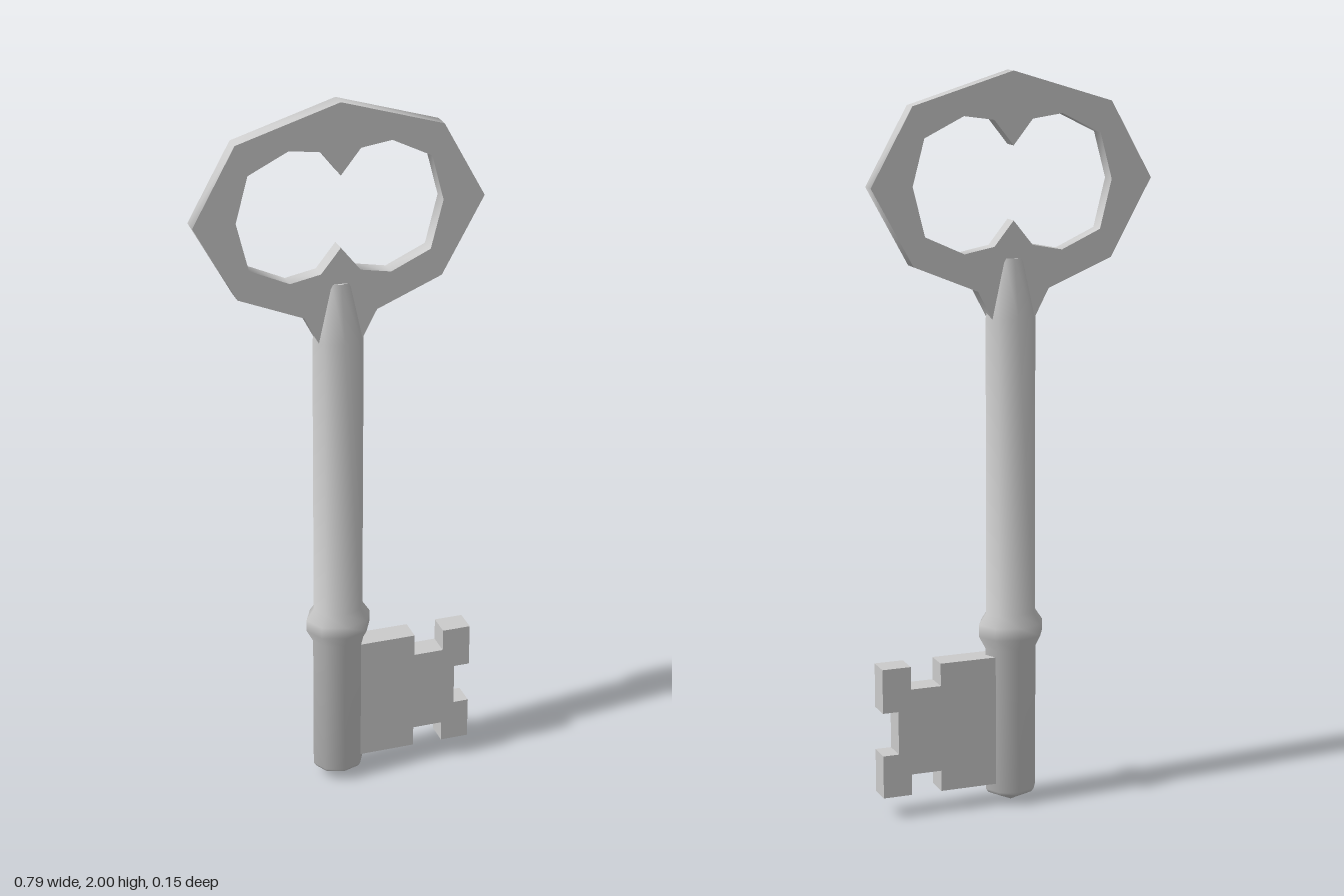
import * as THREE from 'three';
import { toCreasedNormals } from 'three/addons/utils/BufferGeometryUtils.js';

const material = new THREE.MeshStandardMaterial({ color: 0xcccccc });
const crease = THREE.MathUtils.degToRad(60);

function addMesh(group, name, geometry) {
  const mesh = new THREE.Mesh(geometry, material);
  mesh.name = name;
  group.add(mesh);
}

// Mirror a half outline, given from the top down, into a closed counterclockwise one
function mirrored(half) {
  const left = half.filter(([x]) => x > 0).map(([x, y]) => [-x, y]).reverse();
  return [...half, ...left].reverse().map(([x, y]) => new THREE.Vector2(x, y));
}

// Flat plate centred on z = 0
function plate(shape, thickness) {
  return new THREE.ExtrudeGeometry(shape, { depth: thickness, bevelEnabled: false })
    .translate(0, 0, -thickness / 2);
}

// Eight-sided turned part, slightly flattened front to back
function turned(profile) {
  const points = profile.map(([r, y]) => new THREE.Vector2(r, y));
  return toCreasedNormals(new THREE.LatheGeometry(points, 8).scale(1, 1, 0.83), crease);
}

export function createModel() {
  const key = new THREE.Group();
  key.name = 'key';

  // Shaft with pointed tip, collar ring and tapered top
  addMesh(key, 'shaft', turned([
    [0, 0], [0.066, 0.028], [0.073, 0.038], [0.073, 0.44],
    [0.092, 0.475], [0.092, 0.508], [0.071, 0.54],
    [0.071, 1.35], [0.036, 1.509], [0, 1.509],
  ]));

  // Bow: angular ring with two inward cusps and a short neck
  const bow = new THREE.Shape(mirrored([
    [0, 2], [0.279, 1.915], [0.394, 1.708], [0.279, 1.499], [0.1, 1.425], [0.06, 1.348],
  ]));
  bow.holes.push(new THREE.Path(mirrored([
    [0, 1.806], [0.054, 1.874], [0.138, 1.886], [0.247, 1.832], [0.28, 1.708],
    [0.247, 1.576], [0.138, 1.526], [0.054, 1.542], [0, 1.609],
  ])));
  addMesh(key, 'bow', toCreasedNormals(plate(bow, 0.045), crease));

  // Bit: notched plate on the left of the shaft
  const bit = new THREE.Shape([
    [0.03, 0.061], [0.215, 0.061], [0.215, 0.119], [0.3, 0.119], [0.3, 0.061], [0.38, 0.061],
    [0.38, 0.18], [0.336, 0.18], [0.336, 0.3], [0.38, 0.3], [0.38, 0.422],
    [0.3, 0.422], [0.3, 0.359], [0.215, 0.359], [0.215, 0.422], [0.03, 0.422],
  ].map(([x, y]) => new THREE.Vector2(x, y)));
  addMesh(key, 'bit', plate(bit, 0.067));

  return key;
}
